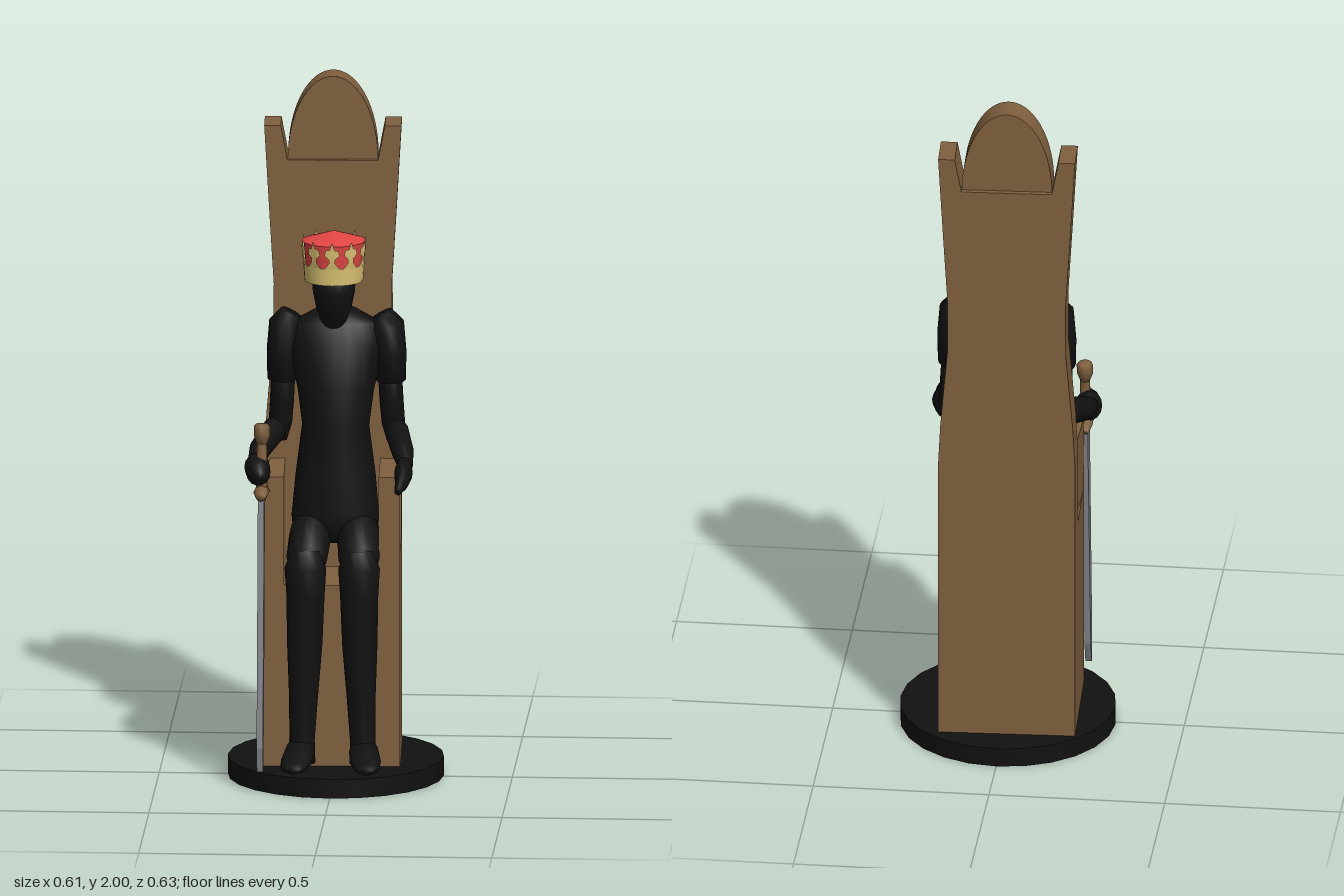
import * as THREE from 'three';

const mat = (name, color, side = THREE.FrontSide) => {
  const m = new THREE.MeshStandardMaterial({ color, side });
  m.name = name;
  return m;
};

// Smooth closed body swept through rings [x, y, z, halfWidth, halfDepth]
function loft(rings, sides = 14) {
  const c = rings.map(r => new THREE.Vector3(r[0], r[1], r[2]));
  const pos = [], index = [], last = rings.length - 1;
  rings.forEach((r, i) => {
    const t = c[Math.min(i + 1, last)].clone().sub(c[Math.max(i - 1, 0)]).normalize();
    const side = new THREE.Vector3(1, 0, 0).addScaledVector(t, -t.x).normalize();
    const up = t.clone().cross(side);
    for (let j = 0; j < sides; j++) {
      const a = j / sides * Math.PI * 2;
      const p = c[i].clone().addScaledVector(side, Math.cos(a) * r[3]).addScaledVector(up, Math.sin(a) * r[4]);
      pos.push(p.x, p.y, p.z);
    }
  });
  for (let i = 0; i < last; i++) for (let j = 0; j < sides; j++) {
    const a = i * sides + j, b = i * sides + (j + 1) % sides;
    index.push(a, b, a + sides, b, b + sides, a + sides);
  }
  // End caps
  const s = pos.length / 3, e = s + 1;
  pos.push(...c[0].toArray(), ...c[last].toArray());
  for (let j = 0; j < sides; j++) {
    const k = (j + 1) % sides;
    index.push(s, k, j, e, last * sides + j, last * sides + k);
  }
  const g = new THREE.BufferGeometry();
  g.setAttribute('position', new THREE.Float32BufferAttribute(pos, 3));
  g.setIndex(index);
  g.computeVertexNormals();
  return g;
}

const outline = pts => new THREE.Shape(pts.map(p => new THREE.Vector2(p[0], p[1])));
const extrude = (shape, depth) =>
  new THREE.ExtrudeGeometry(shape, { depth, bevelEnabled: false, curveSegments: 16 });

export function createModel() {
  const black = mat('black', 0x111111);
  const wood = mat('wood', 0x80603f);
  const red = mat('red', 0xe04643);
  const gold = mat('gold', 0xdcc474, THREE.DoubleSide);
  const steel = mat('steel', 0x84868a);

  const model = new THREE.Group();
  const add = (parent, name, geo, material, x = 0, y = 0, z = 0) => {
    const m = new THREE.Mesh(geo, material);
    m.name = name;
    m.position.set(x, y, z);
    parent.add(m);
    return m;
  };
  const group = name => {
    const g = new THREE.Group();
    g.name = name;
    model.add(g);
    return g;
  };

  // Round base
  add(model, 'base', new THREE.CylinderGeometry(0.306, 0.306, 0.055, 24), black, 0, 0.0275, -0.012);

  // Throne, turned very slightly
  const throne = group('throne');
  throne.position.set(-0.012, 0, -0.045);
  throne.rotation.y = 0.04;
  const W = 0.194;
  add(throne, 'seat', new THREE.BoxGeometry(0.29, 0.525, 0.28), wood, 0, 0.3175, 0.033);
  for (const s of [-1, 1]) {
    add(throne, 'sidePanel', new THREE.BoxGeometry(0.06, 0.615, 0.24), wood, s * (W - 0.03), 0.3625, 0.055);
    // Armrest whose outer face curves inward toward the back
    const plan = new THREE.Shape();
    plan.moveTo(s * (W - 0.06), 0.08);
    plan.lineTo(s * (W - 0.06), -0.175);
    plan.lineTo(s * W, -0.175);
    plan.quadraticCurveTo(s * W, -0.02, s * (W - 0.025), 0.08);
    plan.closePath();
    add(throne, 'armrest', extrude(plan, 0.225), wood, 0, 0.67, 0).rotation.x = -Math.PI / 2;
  }

  // Tall waisted backrest with two horns
  const half = [[W, 0.055], [W, 0.9], [0.188, 1.02], [0.168, 1.25], [0.167, 1.4],
    [0.179, 1.6], [W, 1.86], [0.147, 1.86], [0.128, 1.76]];
  const back = outline([...half, ...half.map(p => [-p[0], p[1]]).reverse()]);
  add(throne, 'backrest', extrude(back, 0.115), wood, 0, 0, -0.175);
  const arch = new THREE.Shape();
  arch.moveTo(0.128, 1.755);
  arch.absellipse(0, 1.755, 0.128, 0.245, 0, Math.PI, false, 0);
  arch.closePath();
  add(throne, 'backrestArch', extrude(arch, 0.085), wood, 0, 0, -0.16);

  // Seated figure
  const figure = group('figure');
  add(figure, 'torso', loft([
    [0, 0.69, 0.045, 0.115, 0.055], [0, 0.76, 0.02, 0.124, 0.085], [0, 0.88, 0.005, 0.113, 0.09],
    [0, 1.02, 0.005, 0.095, 0.085], [0, 1.12, -0.005, 0.108, 0.09], [0, 1.24, -0.025, 0.135, 0.083],
    [0, 1.31, -0.035, 0.125, 0.06], [0, 1.345, -0.03, 0.06, 0.04]], 20), black);
  add(figure, 'neckAndHead', loft([
    [-0.005, 1.29, -0.025, 0.055, 0.05], [-0.005, 1.34, -0.005, 0.042, 0.045],
    [-0.005, 1.36, 0.01, 0.05, 0.062], [-0.005, 1.41, 0.008, 0.06, 0.074],
    [-0.005, 1.48, 0.006, 0.064, 0.076]], 18), black);

  for (const s of [-1, 1]) {
    add(figure, 'thigh', loft([
      [s * 0.06, 0.75, -0.02, 0.055, 0.06], [s * 0.068, 0.71, 0.07, 0.06, 0.065],
      [s * 0.074, 0.66, 0.145, 0.058, 0.055], [s * 0.076, 0.63, 0.18, 0.04, 0.04]]), black);
    add(figure, 'shin', loft([
      [s * 0.075, 0.69, 0.165, 0.04, 0.035], [s * 0.076, 0.64, 0.172, 0.059, 0.052],
      [s * 0.076, 0.56, 0.168, 0.054, 0.047], [s * 0.078, 0.42, 0.17, 0.05, 0.042],
      [s * 0.082, 0.25, 0.168, 0.04, 0.036], [s * 0.086, 0.14, 0.165, 0.036, 0.036],
      [s * 0.088, 0.075, 0.165, 0.04, 0.04]]), black);
    add(figure, 'foot', loft([
      [s * 0.086, 0.105, 0.13, 0.034, 0.034], [s * 0.09, 0.11, 0.18, 0.042, 0.038],
      [s * 0.098, 0.095, 0.24, 0.044, 0.025], [s * 0.104, 0.085, 0.29, 0.036, 0.016],
      [s * 0.104, 0.082, 0.313, 0.018, 0.01]]), black);
    add(figure, 'sleeve', loft([
      [s * 0.125, 1.33, -0.042, 0.035, 0.035], [s * 0.142, 1.3, -0.042, 0.05, 0.06],
      [s * 0.152, 1.22, -0.042, 0.046, 0.064], [s * 0.154, 1.14, -0.042, 0.042, 0.056]]), black);
    add(figure, 'upperArm', loft([
      [s * 0.15, 1.18, -0.042, 0.034, 0.04], [s * 0.155, 1.08, -0.05, 0.034, 0.04],
      [s * 0.16, 1.01, -0.06, 0.033, 0.04], [s * 0.164, 0.96, -0.055, 0.022, 0.025]]), black);
  }
  add(figure, 'leftForearm', loft([
    [0.162, 1.0, -0.08, 0.025, 0.03], [0.172, 0.99, -0.03, 0.034, 0.04],
    [0.192, 0.96, 0.06, 0.032, 0.034], [0.205, 0.935, 0.14, 0.022, 0.024]]), black);
  add(figure, 'leftHand', loft([
    [0.203, 0.937, 0.13, 0.02, 0.024], [0.202, 0.92, 0.18, 0.026, 0.038],
    [0.2, 0.905, 0.23, 0.019, 0.026], [0.192, 0.89, 0.278, 0.01, 0.012]]), black);
  add(figure, 'rightForearm', loft([
    [-0.162, 1.0, -0.08, 0.025, 0.03], [-0.178, 0.99, -0.03, 0.034, 0.04],
    [-0.212, 0.955, 0.06, 0.03, 0.034], [-0.218, 0.935, 0.12, 0.024, 0.026]]), black);
  add(figure, 'rightHand', loft([
    [-0.22, 0.935, 0.1, 0.02, 0.026], [-0.215, 0.925, 0.14, 0.036, 0.044],
    [-0.208, 0.915, 0.18, 0.034, 0.04], [-0.204, 0.905, 0.21, 0.018, 0.022]]), black);

  // Crown: red cap, gold band and gold pointed ornaments
  const crown = group('crown');
  crown.position.set(-0.005, 1.44, 0.008);
  add(crown, 'cap', new THREE.CylinderGeometry(0.086, 0.076, 0.11, 24, 1), red, 0, 0.06, 0);
  add(crown, 'capTop', new THREE.ConeGeometry(0.09, 0.028, 24), red, 0, 0.129, 0);
  const radius = y => 0.083 + 0.009 * y / 0.125;
  add(crown, 'band', new THREE.CylinderGeometry(radius(0.05), radius(0), 0.05, 24, 1, true), gold, 0, 0.025, 0);
  const flower = outline([[-0.3, 0.045], [-0.1, 0.066], [-0.1, 0.078], [-0.24, 0.088], [-0.2, 0.105],
    [-0.08, 0.105], [0, 0.128], [0.08, 0.105], [0.2, 0.105], [0.24, 0.088], [0.1, 0.078], [0.1, 0.066], [0.3, 0.045]]);
  for (let i = 0; i < 10; i++) {
    const geo = new THREE.ShapeGeometry(flower);
    const p = geo.attributes.position;
    for (let k = 0; k < p.count; k++) {
      const a = p.getX(k), y = p.getY(k), r = radius(y) + 0.001;
      p.setXYZ(k, Math.sin(a) * r, y, Math.cos(a) * r);
    }
    geo.computeVertexNormals();
    add(crown, 'crownPoint', geo, gold).rotation.y = i * Math.PI / 5;
  }

  // Sword, leaning forward at the bottom; local y runs along the blade
  const sword = group('sword');
  sword.position.set(-0.2, 0.86, 0.172);
  sword.rotation.x = -0.098;
  const blade = outline([[-0.027, 0], [0.027, 0], [0.019, -0.73], [0, -0.8], [-0.019, -0.73]]);
  const bladeMesh = add(sword, 'blade', extrude(blade, 0.018), steel, -0.009, 0, 0);
  bladeMesh.rotation.y = Math.PI / 2;
  add(sword, 'guard', loft([
    [0, -0.012, -0.042, 0.014, 0.012], [0, 0, -0.02, 0.022, 0.02], [0, 0, 0.02, 0.022, 0.02],
    [0, -0.012, 0.046, 0.014, 0.012]], 8), wood);
  add(sword, 'grip', new THREE.CylinderGeometry(0.014, 0.017, 0.16, 10), wood, 0, 0.08, 0);
  add(sword, 'pommel', loft([
    [0, 0.135, 0, 0.014, 0.014], [0, 0.16, 0, 0.023, 0.025], [0, 0.187, 0, 0.023, 0.027],
    [0, 0.194, 0, 0.016, 0.018]], 8), wood);

  return model;
}
